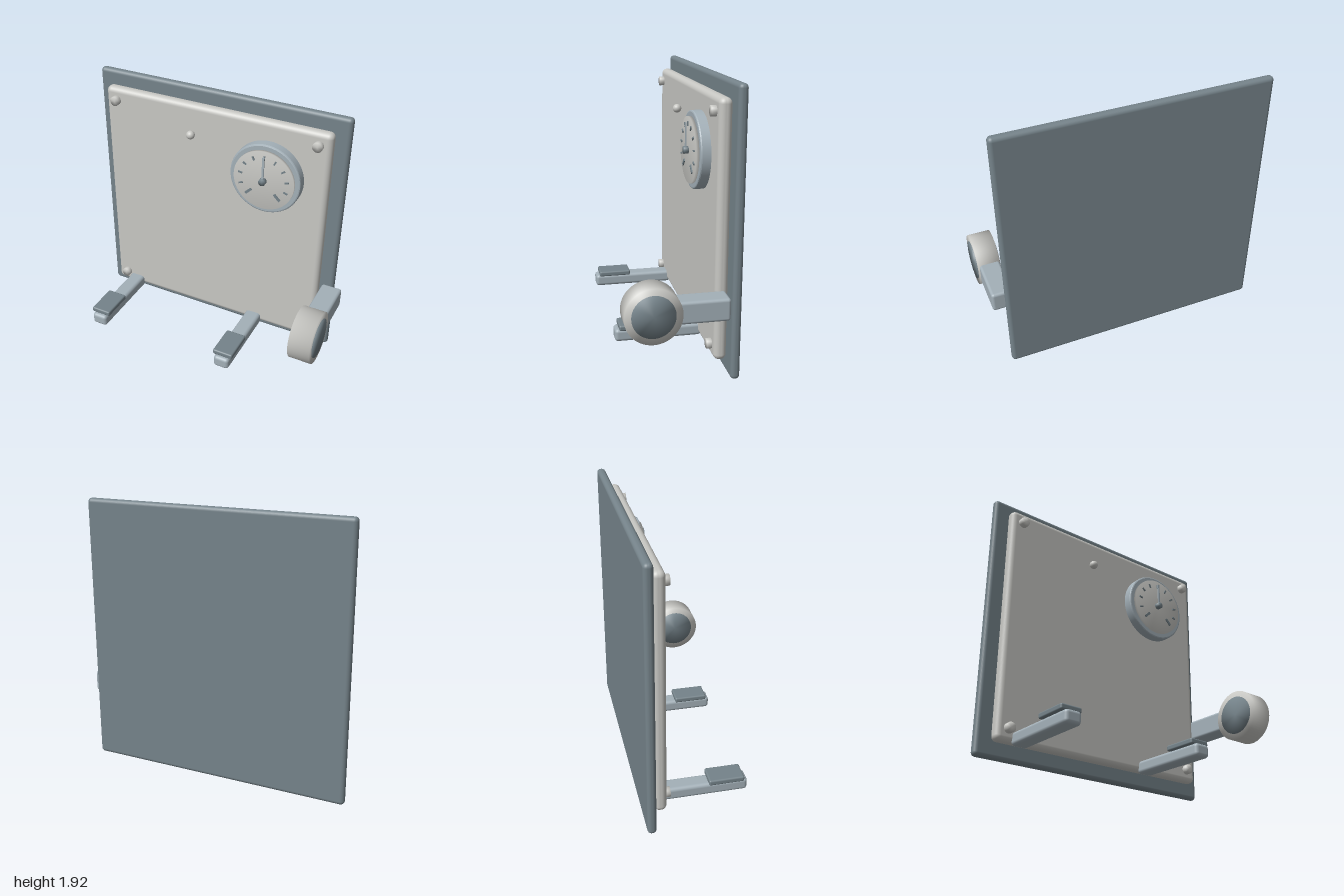
import * as THREE from 'three';
import { mergeVertices } from 'three/addons/utils/BufferGeometryUtils.js';
import { RoundedBoxGeometry } from 'three/addons/geometries/RoundedBoxGeometry.js';

const paint = (name, color) => {
  const m = new THREE.MeshStandardMaterial({ color });
  m.name = name;
  return m;
};

// Cylinder along z whose normals blend softly from side to cap
function softDisc(radius, depth, segments = 48) {
  const g = new THREE.CylinderGeometry(radius, radius, depth, segments).rotateX(Math.PI / 2);
  g.deleteAttribute('normal');
  g.deleteAttribute('uv');
  const soft = mergeVertices(g, 1e-4);
  soft.computeVertexNormals();
  return soft;
}

export function createModel() {
  const slate = paint('slate', 0x75838a);
  const steel = paint('steel', 0xa3b0b8);
  const pale = paint('pale grey', 0xc8c8c4);

  const model = new THREE.Group();
  model.name = 'wallPanel';

  const add = (name, geometry, material, x, y, z, parent = model) => {
    const mesh = new THREE.Mesh(geometry, material);
    mesh.name = name;
    mesh.position.set(x, y, z);
    parent.add(mesh);
    return mesh;
  };
  // Rounded box given by its min and max corners
  const block = (name, material, [x0, y0, z0], [x1, y1, z1], radius) =>
    add(name, new RoundedBoxGeometry(x1 - x0, y1 - y0, z1 - z0, 4, radius), material,
      (x0 + x1) / 2, (y0 + y1) / 2, (z0 + z1) / 2);

  // Boards
  block('backBoard', slate, [-1, 0, -0.387], [0.91, 1.917, -0.325], 0.028);
  block('frontPanel', pale, [-0.905, 0.098, -0.322], [0.817, 1.823, -0.236], 0.038);

  // Corner screws and the small knob
  for (const x of [-0.817, 0.727])
    for (const y of [0.188, 1.733]) add('screw', softDisc(0.035, 0.05, 32), pale, x, y, -0.227);
  add('knob', new THREE.SphereGeometry(0.031, 24, 16), pale, -0.2, 1.608, -0.206);

  // Two hooks with pads on top
  for (const x of [-0.725, 0.326]) {
    block('hook', steel, [x - 0.06, 0.082, -0.262], [x + 0.06, 0.173, 0.353], 0.025);
    block('hookPad', slate, [x - 0.077, 0.168, 0.077], [x + 0.077, 0.208, 0.325], 0.012);
  }

  // Side arm carrying a roller
  block('sideArm', steel, [0.837, 0.455, -0.292], [0.987, 0.605, 0.07], 0.02);
  add('roller', softDisc(0.185, 0.157, 64).rotateY(Math.PI / 2), pale, 0.915, 0.528, 0.2);
  add('rollerHub', softDisc(0.14, 0.172, 64).rotateY(Math.PI / 2), slate, 0.914, 0.528, 0.2);

  // Gauge: rim, face, tick marks, hand and hub
  const gauge = new THREE.Group();
  gauge.name = 'gauge';
  gauge.position.set(0.388, 1.425, 0);
  model.add(gauge);

  const rim = [[0, -0.24], [0.26, -0.24], [0.26, -0.178], [0.257, -0.171], [0.25, -0.168], [0, -0.168]];
  const rimShape = [];
  rim.forEach(([r, z], i) => {
    // Doubled corner points keep the edges crisp
    rimShape.push(new THREE.Vector2(r, z));
    if (i > 0 && i < rim.length - 1) rimShape.push(new THREE.Vector2(r, z));
  });
  add('gaugeRim', new THREE.LatheGeometry(rimShape, 64).rotateX(Math.PI / 2), steel, 0, 0, 0, gauge);
  add('gaugeFace', softDisc(0.222, 0.03, 64), pale, 0, 0, -0.163, gauge);

  for (let i = 0; i <= 10; i++) {
    const angle = THREE.MathUtils.degToRad(135 - 27 * i);
    const end = i === 0 || i === 10;
    const length = end ? 0.06 : 0.03;
    const r = end ? 0.15 : 0.174;
    const tick = add('tick', new THREE.BoxGeometry(end ? 0.018 : 0.011, length, 0.009), slate,
      -Math.sin(angle) * r, Math.cos(angle) * r, -0.145, gauge);
    tick.rotation.z = angle;
  }

  add('hand', new THREE.BoxGeometry(0.015, 0.185, 0.008), steel, 0, 0.092, -0.131, gauge);
  add('handHub', softDisc(0.025, 0.032, 24), slate, 0, 0, -0.132, gauge);

  return model;
}
